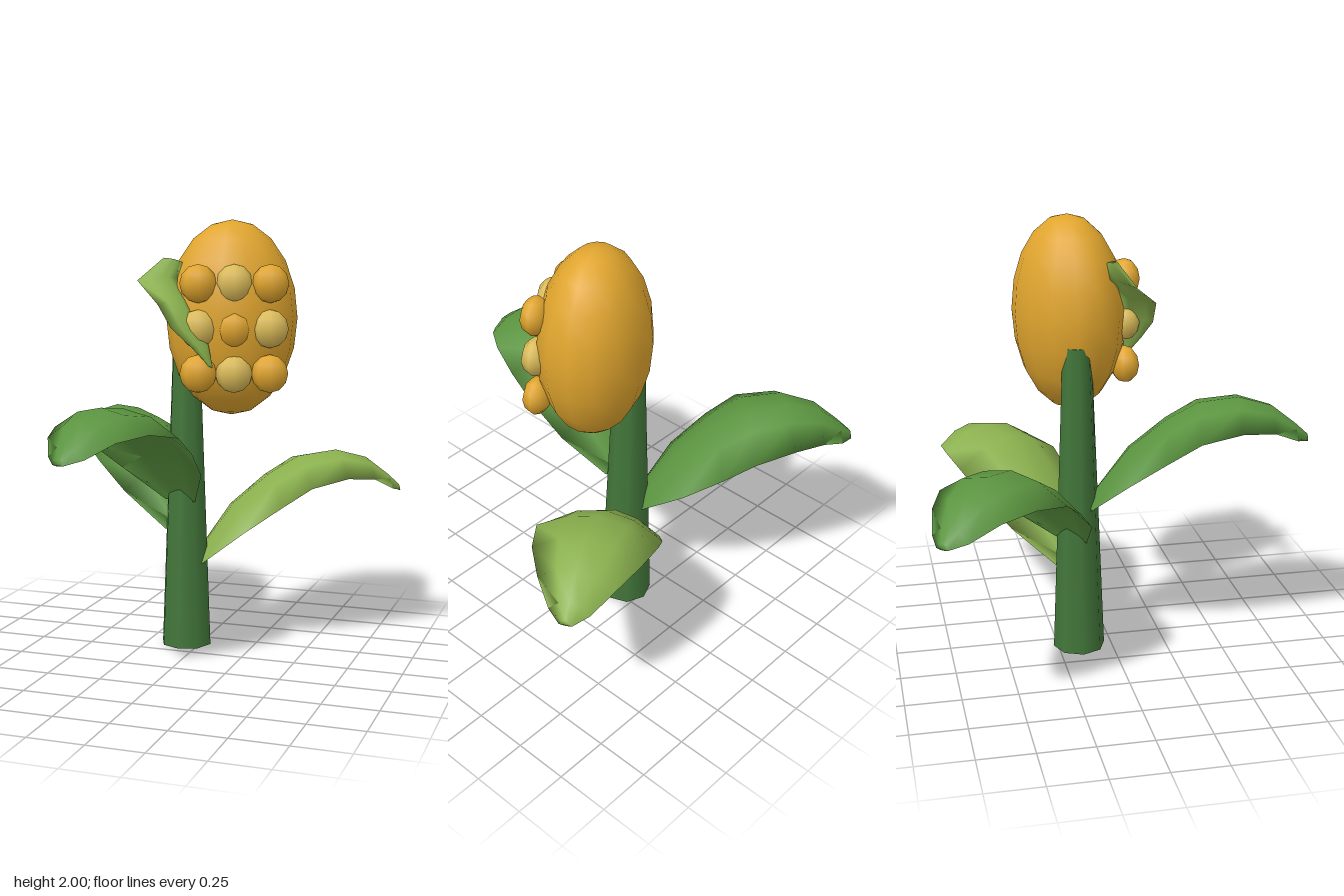
import * as THREE from 'three';

const mat = (name, hex) => {
  const m = new THREE.MeshStandardMaterial({ color: hex });
  m.name = name;
  return m;
};

// Arched leaf blade: each section is [edgeA, edgeB, bulge], thickness tapers to the rims
function leafGeometry(sections, up, thickness) {
  const n = 4, ring = 2 * n, pos = [], idx = [];
  for (const [a, b, bulge] of sections) {
    for (let j = 0; j < ring; j++) {
      const top = j <= n;
      const u = (top ? j : ring - j) / n;
      const w = 1 - (2 * u - 1) ** 2;
      const p = a.clone().lerp(b, u).addScaledVector(up, w * (bulge - (top ? 0 : thickness)));
      pos.push(p.x, p.y, p.z);
    }
  }
  const last = (sections.length - 1) * ring;
  for (let i = 0; i < last; i += ring) {
    for (let j = 0; j < ring; j++) {
      const k = (j + 1) % ring;
      idx.push(i + j, i + k, i + ring + j, i + k, i + ring + k, i + ring + j);
    }
  }
  for (let j = 1; j < ring - 1; j++) {
    idx.push(0, j + 1, j, last, last + j, last + j + 1);
  }
  const g = new THREE.BufferGeometry();
  g.setAttribute('position', new THREE.Float32BufferAttribute(pos, 3));
  g.setIndex(idx);
  g.computeVertexNormals();
  return g;
}

export function createModel() {
  const group = new THREE.Group();
  const stalkGreen = mat('stalk green', 0x42763a);
  const leafGreen = mat('leaf green', 0x5b9440);
  const lightGreen = mat('light green', 0x8ab04e);
  const gold = mat('gold', 0xe0a52e);
  const paleGold = mat('pale gold', 0xdaba58);

  const add = (name, geometry, material, parent = group) => {
    const m = new THREE.Mesh(geometry, material);
    m.name = name;
    parent.add(m);
    return m;
  };
  const V = (x, y, z) => new THREE.Vector3(x, y, z);

  // Tapered stalk
  add('stalk', new THREE.CylinderGeometry(0.065, 0.12, 1.45, 8), stalkGreen).position.set(-0.07, 0.725, -0.15);

  // Cob with a 3 x 3 checker of kernels, turned slightly to its left
  const cob = new THREE.Group();
  cob.name = 'cob';
  cob.position.set(0.15, 1.555, -0.15);
  cob.rotation.y = 0.35;
  group.add(cob);
  add('cobBody', new THREE.SphereGeometry(1, 14, 10), gold, cob).scale.set(0.3, 0.445, 0.242);
  const kernel = new THREE.SphereGeometry(1, 8, 6);
  for (let row = 0; row < 3; row++) {
    for (let col = 0; col < 3; col++) {
      const k = add('kernel', kernel, (row + col) % 2 ? paleGold : gold, cob);
      k.position.set((col - 1) * 0.16, 0.165 - row * 0.2, 0.2);
      k.scale.set(0.083, 0.086, 0.062);
    }
  }

  // Large leaves: [distance from stalk, rim height, half width, arch]
  const profile = [
    [0.06, 0.0, 0.08, 0.05], [0.23, 0.165, 0.21, 0.11], [0.4, 0.29, 0.26, 0.12],
    [0.54, 0.38, 0.275, 0.11], [0.72, 0.415, 0.24, 0.1], [0.87, 0.395, 0.17, 0.08],
    [0.98, 0.335, 0.09, 0.055], [1.035, 0.315, 0.03, 0.025],
  ];
  const up = V(0, 1, 0);
  const leaves = [
    ['frontLeaf', 101, 0.7, leafGreen],
    ['backRightLeaf', 221.5, 0.55, leafGreen],
    ['backLeftLeaf', 332, 0.4, lightGreen],
  ];
  for (const [name, degrees, base, material] of leaves) {
    const c = Math.cos(degrees * Math.PI / 180), s = Math.sin(degrees * Math.PI / 180);
    const sections = profile.map(([r, y, w, arch]) => {
      const edge = (k) => V(-0.07 + r * c - k * w * s, base + y, -0.15 + r * s + k * w * c);
      return [edge(-1), edge(1), arch];
    });
    add(name, leafGeometry(sections, up, 0.03), material);
  }

  // Small husk leaf curling over the cob
  const husk = [
    [V(0.13, 1.36, 0.13), V(0.14, 1.35, 0.1), 0.005],
    [V(0.07, 1.44, 0.175), V(0.12, 1.45, 0.1), 0.012],
    [V(-0.02, 1.53, 0.205), V(0.06, 1.55, 0.08), 0.02],
    [V(-0.08, 1.63, 0.205), V(0, 1.64, 0.05), 0.025],
    [V(-0.22, 1.73, 0.09), V(-0.06, 1.74, 0), 0.02],
    [V(-0.12, 1.83, 0.02), V(-0.04, 1.81, -0.01), 0.008],
  ];
  add('huskLeaf', leafGeometry(husk, V(0.76, 0.46, 0.45), 0.015), lightGreen);

  return group;
}
